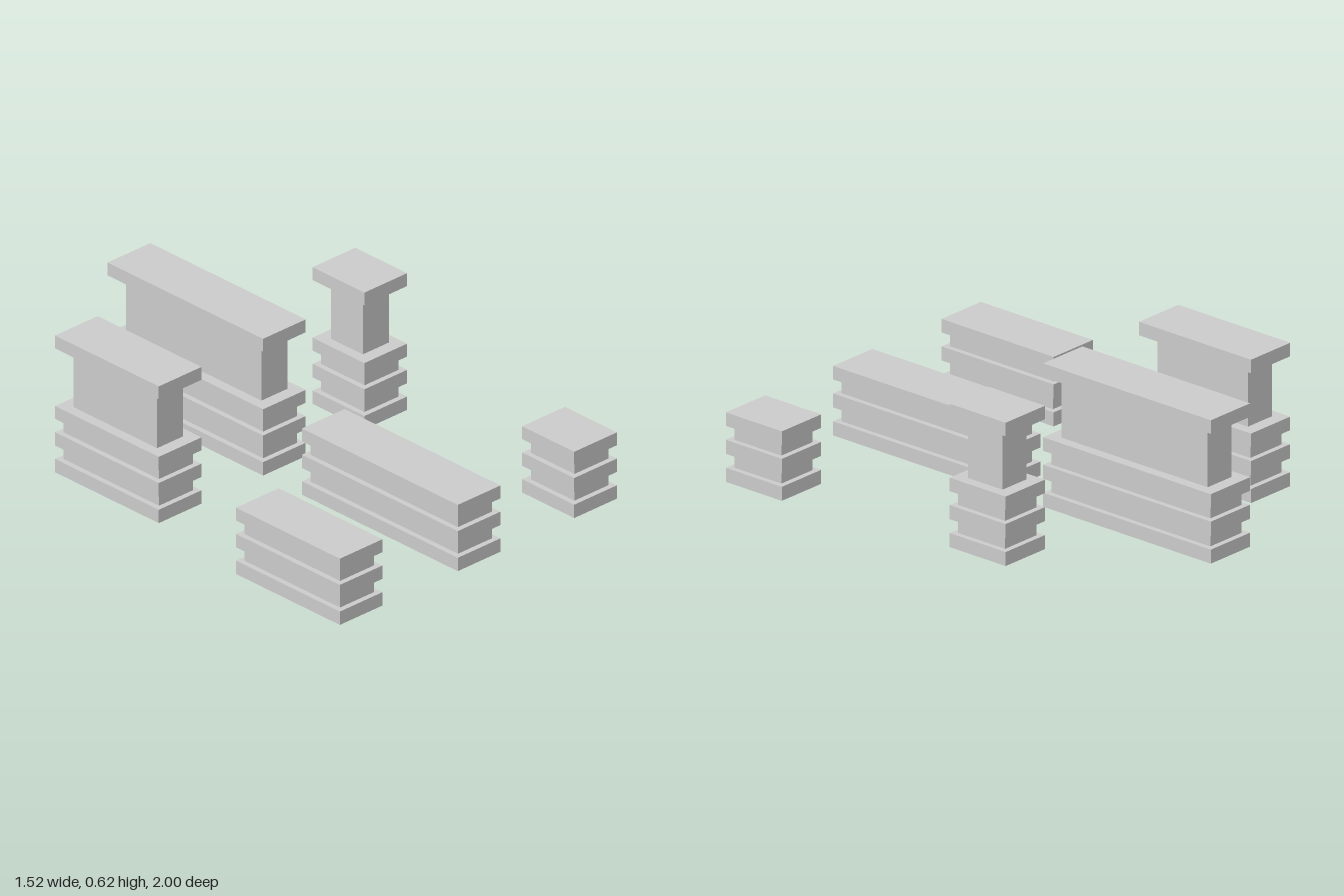
import * as THREE from 'three';

const material = new THREE.MeshStandardMaterial({
  color: 0xcccccc, flatShading: true, side: THREE.DoubleSide,
});

// Profile steps: [height, inset in x, inset in z]
const BASE = [
  [0, 0, 0], [0.06, 0, 0],
  [0.06, 0.024, 0.024], [0.12, 0.024, 0.024],
  [0.12, 0, 0], [0.18, 0, 0],
  [0.18, 0.024, 0.024], [0.24, 0.024, 0.024],
  [0.24, 0, 0], [0.298, 0, 0],
];
const TOWER = [
  ...BASE,
  [0.298, 0.046, 0.057], [0.557, 0.046, 0.057],
  [0.557, 0, 0], [0.615, 0, 0],
];
const CORNERS = [[1, 1], [1, -1], [-1, -1], [-1, 1]];

// Stepped rectangular shell, open underneath and closed on top
function steppedShell(width, depth, profile) {
  const rings = profile.map(([y, ix, iz]) => CORNERS.map(([sx, sz]) =>
    [sx * (width / 2 - ix), y, sz * (depth / 2 - iz)]));
  const positions = [];
  const quad = (a, b, c, d) => positions.push(...a, ...b, ...c, ...a, ...c, ...d);
  for (let r = 0; r < rings.length - 1; r++) {
    for (let i = 0; i < 4; i++) {
      const j = (i + 1) % 4;
      quad(rings[r][i], rings[r][j], rings[r + 1][j], rings[r + 1][i]);
    }
  }
  quad(...rings[rings.length - 1]);
  const geometry = new THREE.BufferGeometry();
  geometry.setAttribute('position', new THREE.Float32BufferAttribute(positions, 3));
  geometry.computeVertexNormals();
  return geometry;
}

export function createModel() {
  const model = new THREE.Group();
  const width = 0.235;

  // name, centre x, z range, profile
  const blocks = [
    ['frontRightBlock', -0.646, 0.407, 1, BASE],
    ['frontMiddleBlock', 0.003, 0.11, 1, BASE],
    ['frontLeftBlock', 0.644, 0.703, 1, BASE],
    ['backRightTower', -0.571, -0.704, -0.112, TOWER],
    ['backMiddleTower', 0.003, -1, -0.112, TOWER],
    ['backLeftTower', 0.561, -0.408, -0.112, TOWER],
  ];
  for (const [name, x, z0, z1, profile] of blocks) {
    const mesh = new THREE.Mesh(steppedShell(width, z1 - z0, profile), material);
    mesh.name = name;
    mesh.position.set(x, 0, (z0 + z1) / 2);
    model.add(mesh);
  }
  return model;
}
